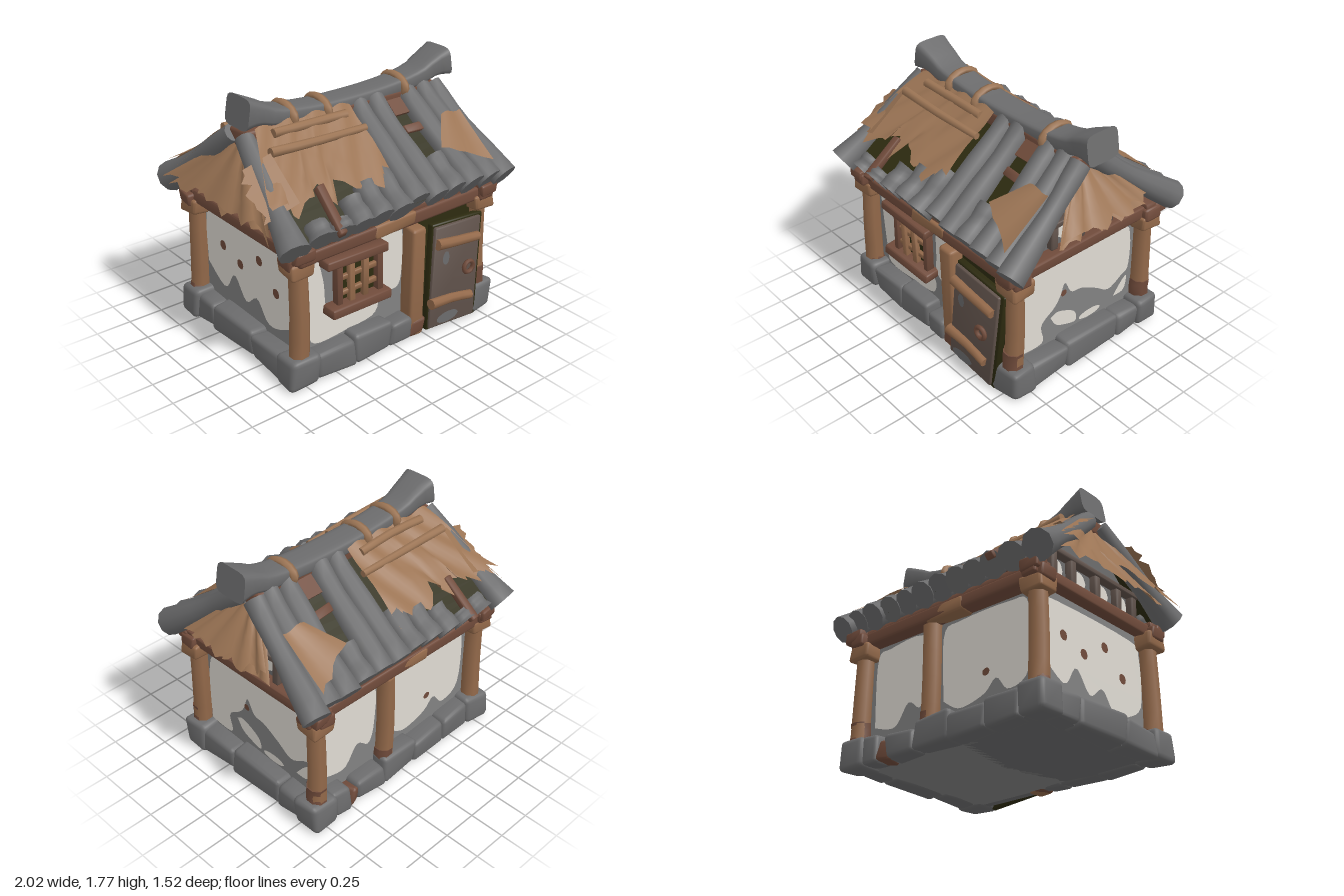
import * as THREE from 'three';
import { mergeVertices, toCreasedNormals } from 'three/addons/utils/BufferGeometryUtils.js';
import { RoundedBoxGeometry } from 'three/addons/geometries/RoundedBoxGeometry.js';

const V = (x, y, z) => new THREE.Vector3(x, y, z);
const lerp = THREE.MathUtils.lerp;

export function createModel() {
  const root = new THREE.Group();
  const mat = (name, color, side = THREE.FrontSide) => {
    const m = new THREE.MeshStandardMaterial({ color, side });
    m.name = name;
    return m;
  };
  const stone = mat('stone grey', 0x6c6c6d);
  const plasterGrey = mat('worn plaster grey', 0x828282);
  const plaster = mat('plaster white', 0xdfdbd3);
  const wood = mat('tan wood', 0x93694a);
  const brown = mat('red brown wood', 0x704b3b);
  const dark = mat('dark wood', 0x5f514a);
  const olive = mat('dark hollow', 0x2d2b10, THREE.DoubleSide);
  const straw = mat('straw', 0x9c7555, THREE.DoubleSide);

  let seed = 7;
  const rnd = () => (seed = (seed * 16807) % 2147483647) / 2147483647;

  function add(name, geo, m, pos = [0, 0, 0], rot = [0, 0, 0]) {
    const mesh = new THREE.Mesh(geo, m);
    mesh.name = name;
    mesh.position.set(...pos);
    mesh.rotation.set(...rot);
    root.add(mesh);
    return mesh;
  }

  // Box with soft edges and a slightly uneven surface
  function block(name, m, [w, h, d], pos, rot, rough = 0.008) {
    let g = new RoundedBoxGeometry(w, h, d, 2, Math.min(w, h, d) * 0.2);
    g.deleteAttribute('normal');
    g.deleteAttribute('uv');
    g = mergeVertices(g, 1e-4);
    const p = g.attributes.position, k = rnd() * 20;
    for (let i = 0; i < p.count; i++) {
      const x = p.getX(i), y = p.getY(i), z = p.getZ(i);
      p.setXYZ(i, x + rough * Math.sin(17 * y + 11 * z + k), y + rough * Math.sin(15 * x + 9 * z + k), z + rough * Math.sin(13 * x + 12 * y + k));
    }
    return add(name, toCreasedNormals(g, 0.9), m, pos, rot);
  }

  // Capped sweep along a curve; size(t) returns the two half widths, power < 1 squares the section
  function sweep(name, m, points, size, sides = 8, steps = 8, power = 1) {
    const curve = new THREE.CatmullRomCurve3(points);
    const f = curve.computeFrenetFrames(steps, false);
    const pos = [], idx = [];
    const pw = c => Math.sign(c) * Math.abs(c) ** power;
    for (let j = -1; j <= steps + 1; j++) {
      const k = Math.min(Math.max(j, 0), steps), c = curve.getPointAt(k / steps);
      const [a, b] = j === k ? size(k / steps) : [0, 0];
      for (let i = 0; i < sides; i++) {
        const th = ((i + 0.5) / sides) * Math.PI * 2;
        const q = c.clone().addScaledVector(f.normals[k], -pw(Math.cos(th)) * a).addScaledVector(f.binormals[k], pw(Math.sin(th)) * b);
        pos.push(q.x, q.y, q.z);
        if (j > -1) {
          const r = (j + 1) * sides, o = r - sides, n = (i + 1) % sides;
          idx.push(o + i, r + i, o + n, r + i, r + n, o + n);
        }
      }
    }
    const g = new THREE.BufferGeometry();
    g.setAttribute('position', new THREE.Float32BufferAttribute(pos, 3));
    g.setIndex(idx);
    return add(name, toCreasedNormals(g, 0.95), m);
  }
  const pole = (name, m, a, b, r0, r1 = r0) => sweep(name, m,
    [V(...a), V(...a).lerp(V(...b), 0.5).add(V(rnd() - 0.5, rnd() - 0.5, rnd() - 0.5).multiplyScalar(0.02)), V(...b)],
    t => [lerp(r0, r1, t), lerp(r0, r1, t)], 8, 4);

  // Bent sheet from a surface rule, with a ragged lower edge
  function sheet(name, m, rule, nu = 16, nv = 5, rag = 0) {
    const g = new THREE.PlaneGeometry(1, 1, nu, nv), p = g.attributes.position;
    for (let i = 0; i < p.count; i++) {
      const u = p.getX(i) + 0.5;
      let v = 0.5 - p.getY(i);
      if (v > 0.99) v += rag * (rnd() - 0.6);
      p.setXYZ(i, ...rule(u, v));
    }
    g.computeVertexNormals();
    return add(name, g, m);
  }

  // Painted flat patch with a smooth outline
  function patch(name, m, pts, pos, turn = 0) {
    const s = new THREE.Shape();
    s.moveTo(...pts[0]);
    s.splineThru([...pts.slice(1), pts[0]].map(q => new THREE.Vector2(...q)));
    return add(name, new THREE.ShapeGeometry(s, 4), m, pos, [0, turn, 0]);
  }
  const oval = (x, y, a, b) => [0, 1, 2, 3, 4, 5, 6].map(i => [x + a * Math.cos(i * 0.9), y + b * Math.sin(i * 0.9)]);

  // Walls and floor
  add('walls', new THREE.BoxGeometry(1.46, 0.9, 1.06), plasterGrey, [0, 0.47, 0]);
  add('floor', new THREE.BoxGeometry(1.6, 0.06, 1.18), stone, [0, 0.05, 0]);

  // Stone footing with a wooden wedge
  for (const x of [-1, 1]) for (const z of [-1, 1])
    block('cornerStone', stone, [0.22, 0.22, 0.2], [x * 0.765, 0.115, z * 0.565], [0, 0.06 * x, 0]);
  for (const [a, b, h] of [[-0.67, -0.35, 0.19], [-0.36, -0.05, 0.21], [-0.06, 0.12, 0.17]])
    block('frontStone', stone, [b - a, h, 0.16], [(a + b) / 2, h / 2 + 0.01, 0.57]);
  for (const [a, b, h] of [[-0.67, -0.4, 0.19], [-0.41, -0.1, 0.17], [-0.11, 0.2, 0.2], [0.19, 0.45, 0.16], [0.52, 0.67, 0.2]])
    block('backStone', stone, [b - a, h, 0.16], [(a + b) / 2, h / 2 + 0.01, -0.57]);
  block('backWedge', brown, [0.1, 0.13, 0.13], [0.48, 0.08, -0.57], [0, 0.3, 0.2]);
  for (const s of [-1, 1]) for (const [a, b, h] of [[0.16, 0.5, 0.18], [-0.3, 0.17, 0.2], [-0.5, -0.29, 0.18]])
    block('sideStone', stone, [0.17, h, b - a], [s * 0.77, h / 2 + 0.01, (a + b) / 2]);

  // Whitewash left on the walls
  patch('frontPlaster', plaster, [[-0.69, 0.76], [-0.6, 0.84], [-0.54, 0.65], [-0.5, 0.4], [-0.3, 0.37], [-0.1, 0.38], [-0.12, 0.25], [-0.35, 0.22], [-0.62, 0.22], [-0.66, 0.4]], [0, 0, 0.535]);
  patch('frontPlaster', plaster, [[-0.07, 0.82], [0.1, 0.84], [0.11, 0.45], [0.03, 0.38], [-0.07, 0.45], [-0.07, 0.6]], [0, 0, 0.535]);
  const right = Math.PI / 2;
  patch('rightPlaster', plaster, [[-0.51, 0.22], [-0.5, 0.65], [-0.4, 0.82], [0, 0.84], [0.4, 0.83], [0.48, 0.72], [0.48, 0.47], [0.42, 0.42], [0.3, 0.36], [0.18, 0.43], [0.05, 0.5], [-0.05, 0.52], [-0.11, 0.62], [-0.15, 0.53], [-0.2, 0.46], [-0.31, 0.37], [-0.3, 0.22]], [0.735, 0, 0], right);
  patch('rightPlasterIsland', plaster, [[-0.23, 0.39], [-0.16, 0.41], [-0.02, 0.34], [0, 0.25], [-0.1, 0.27], [-0.18, 0.31]], [0.735, 0, 0], right);
  patch('rightPlasterIsland', plaster, oval(0.13, 0.25, 0.1, 0.03), [0.735, 0, 0], right);
  patch('rightPlasterIsland', plaster, [[0.35, 0.27], [0.45, 0.28], [0.47, 0.39], [0.42, 0.36]], [0.735, 0, 0], right);
  patch('wallSpot', brown, oval(-0.12, 0.545, 0.025, 0.025), [0.738, 0, 0], right);
  patch('leftPlaster', plaster, [[-0.5, 0.42], [-0.5, 0.76], [-0.4, 0.83], [0.4, 0.83], [0.5, 0.74], [0.5, 0.4], [0.36, 0.28], [0.2, 0.25], [0.08, 0.38], [-0.05, 0.3], [-0.18, 0.44], [-0.3, 0.3]], [-0.735, 0, 0], -right);
  for (const [x, y] of [[-0.3, 0.62], [-0.1, 0.56], [0.12, 0.68], [0.3, 0.52]])
    patch('wallSpot', brown, oval(x, y, 0.035, 0.035), [-0.738, 0, 0], -right);
  patch('backPlaster', plaster, [[-0.67, 0.3], [-0.67, 0.78], [-0.55, 0.84], [-0.22, 0.83], [-0.2, 0.5], [-0.25, 0.34], [-0.36, 0.4], [-0.48, 0.26]], [0, 0, -0.535], Math.PI);
  patch('backPlaster', plaster, [[-0.04, 0.32], [-0.05, 0.78], [0.1, 0.84], [0.5, 0.84], [0.66, 0.78], [0.66, 0.35], [0.5, 0.26], [0.4, 0.36], [0.3, 0.28], [0.1, 0.24]], [0, 0, -0.535], Math.PI);
  patch('wallSpot', brown, oval(0.32, 0.42, 0.03, 0.025), [0, 0, -0.54], Math.PI);

  // Posts with dark feet, caps and wall beams
  for (const x of [-1, 1]) for (const z of [-1, 1]) {
    pole('cornerPost', wood, [x * 0.765, 0.18, z * 0.575], [x * 0.76, 0.84, z * 0.565], 0.068, 0.062);
    pole('cornerPostFoot', brown, [x * 0.767, 0.2, z * 0.577], [x * 0.765, 0.28 + 0.06 * x, z * 0.575], 0.07);
    block('postCap', wood, [0.18, 0.11, 0.17], [x * 0.76, 0.845, z * 0.56], [0, 0, 0.04 * x]);
  }
  block('doorPost', wood, [0.12, 0.82, 0.13], [0.18, 0.425, 0.58]);
  block('doorPostFoot', brown, [0.125, 0.12, 0.135], [0.18, 0.08, 0.582]);
  pole('backPost', wood, [0.13, 0.12, -0.56], [0.13, 0.86, -0.56], 0.065);
  pole('backPostFoot', brown, [0.13, 0.15, -0.56], [0.13, 0.26, -0.56], 0.067);
  for (const s of [-1, 1]) {
    block('longBeam', brown, [1.72, 0.09, 0.13], [0, 0.915, s * 0.565], [0, 0, 0.012]);
    block('longBeamUpper', brown, [1.66, 0.05, 0.1], [0, 0.965, s * 0.56]);
    block('beamWorn', wood, [0.34, 0.093, 0.134], [-0.02, 0.908, s * 0.565], [0, 0, 0.012]);
    block('sideBeam', brown, [0.12, 0.09, 1.34], [s * 0.76, 0.925, 0]);
    for (const z of [-1, 1]) block('beamEnd', brown, [0.14, 0.08, 0.1], [s * 0.78, 0.95, z * 0.63]);
  }

  // Window with lattice
  add('windowHollow', new THREE.BoxGeometry(0.34, 0.34, 0.01), olive, [-0.285, 0.6, 0.545]);
  block('windowLintel', brown, [0.49, 0.06, 0.1], [-0.325, 0.785, 0.575], [0, 0, -0.015]);
  block('windowSill', brown, [0.48, 0.065, 0.12], [-0.3, 0.44, 0.58]);
  for (const x of [-0.45, -0.12]) block('windowJamb', brown, [0.045, 0.32, 0.06], [x, 0.6, 0.565], undefined, 0.003);
  for (const x of [-0.35, -0.24]) block('windowBar', wood, [0.045, 0.32, 0.04], [x, 0.6, 0.58], [0, 0, 0.03], 0.004);
  for (const y of [0.54, 0.65]) block('windowCrossBar', wood, [0.3, 0.035, 0.03], [-0.285, y, 0.565], [0, 0, 0.03], 0.004);

  // Crooked door with straps and ring
  add('doorHollow', new THREE.BoxGeometry(0.5, 0.82, 0.02), olive, [0.49, 0.44, 0.545]);
  block('doorEdge', olive, [0.46, 0.77, 0.05], [0.495, 0.405, 0.63], [-0.05, 0, -0.075], 0.004);
  block('doorPanel', dark, [0.42, 0.74, 0.05], [0.485, 0.405, 0.65], [-0.05, 0, -0.075], 0.006);
  patch('doorWear', stone, oval(0.38, 0.56, 0.03, 0.05), [0, 0, 0.684]);
  patch('doorWear', stone, oval(0.4, 0.11, 0.1, 0.04), [0, 0, 0.702]);
  pole('doorStrap', wood, [0.3, 0.68, 0.675], [0.68, 0.63, 0.675], 0.038, 0.032);
  pole('doorStrap', wood, [0.25, 0.25, 0.69], [0.62, 0.2, 0.69], 0.038, 0.032);
  add('doorRing', new THREE.TorusGeometry(0.042, 0.016, 6, 12), brown, [0.585, 0.43, 0.695]);

  // Gable walls with small panes
  for (const s of [-1, 1]) {
    const tri = new THREE.Shape([[-0.56, 0.95], [0.56, 0.95], [0.48, 1.1], [0.06, 1.46], [-0.06, 1.46], [-0.48, 1.1]].map(q => new THREE.Vector2(...q)));
    const g = new THREE.ExtrudeGeometry(tri, { depth: 0.02, bevelEnabled: false });
    add('gableWall', g, stone, [s * 0.71, 0, 0], [0, s * Math.PI / 2, 0]);
    for (const z of [0.34, 0.13, -0.11, -0.34]) patch('gablePane', plaster, oval(-z, 1.06, Math.abs(z) > 0.2 ? 0.045 : 0.07, 0.062), [s * 0.737, 0, 0], s * Math.PI / 2);
    for (const z of [0.42, 0.25, 0.02, -0.23, -0.42]) block('gablePost', dark, [0.06, 0.18, 0.055], [s * 0.75, 1.06, z], undefined, 0.003);
    block('gableRail', dark, [0.08, 0.04, 0.9], [s * 0.75, 1.16, 0]);
  }

  // Roof slope rule shared by tiles, underlay and straw
  const prof = [[0.05, 1.53], [0.2, 1.4], [0.4, 1.245], [0.6, 1.095], [0.72, 1.01], [0.9, 0.89]];
  const roofY = z => {
    const i = Math.max(1, prof.findIndex(q => q[0] >= z)), [a, b] = [prof[i - 1], prof[i]];
    return lerp(a[1], b[1], (z - a[0]) / (b[0] - a[0]));
  };
  const hipX = (x, z) => x * (0.87 + 0.18 * z);
  for (const s of [-1, 1]) {
    sheet('roofUnderlay', olive, (u, v) => {
      const z = lerp(0.05, 0.66, v);
      return [hipX(lerp(-0.84, 0.84, u), z), roofY(z) - 0.015, s * z];
    }, 2, 8);
    add('ridgeShadowBoard', new THREE.BoxGeometry(0.16, 0.02, 0.16), brown, [0.415, roofY(0.13) + 0.02, s * 0.13], [s * 0.7, 0, 0]);
    const tile = (name, x, z0, z1, r0, r1) => sweep(name, stone,
      [0, 0.33, 0.66, 1].map(t => { const z = lerp(z0, z1, t); return V(hipX(x, z), roofY(z), s * z); }),
      t => { const r = lerp(r0, r1, t ** 3) + 0.005 * Math.sin(9 * t + x * 30); return [r, r]; }, 10, 7);
    for (const sx of [-1, 1]) tile('rakeTile', sx * 0.875, 0.06, 0.7, 0.068, 0.1);
    const starts = [0.59, 0.62, 0.53, 0.48, 0.42, 0.05, 0.05, 0.46, 0.05, 0.05];
    starts.forEach((z0, i) => tile('roofTile', -0.66 + i * 0.157, z0, 0.665 + 0.025 * rnd(), 0.08, 0.092));
    block('roofBatten', brown, [0.16, 0.03, 0.06], [0.42, roofY(0.28) + 0.02, s * 0.28], [s * 0.7, 0, 0]);
    block('brokenRafter', brown, [0.06, 0.05, 0.34], [-0.53, 1.165, s * 0.6], [s * 0.66, 0, 0]);

    // Straw covering on the slope, running over the left rake
    sheet('slopeStraw', straw, (u, v) => {
      const gap = u > 0.34 && u < 0.64 && Math.abs(u - 0.47) > 0.05 ? 0.82 : 1, z = lerp(0.1, 0.57, v * gap);
      return [lerp(-0.72 - 0.22 * v - 0.02 * Math.sin(v * 19), 0.02, u), roofY(z) + 0.09 + 0.014 * Math.sin(u * 23 + v * 7), s * z];
    }, 24, 6, 0.2);
    sheet('slopeStrawPatch', straw, (u, v) => {
      const z = lerp(0.33, lerp(0.52, 0.67, u), v);
      return [lerp(lerp(0.62, 0.45, v), 0.79, u), roofY(z) + 0.12 + 0.012 * Math.sin(u * 6), s * z];
    }, 6, 4, 0.1);
    pole('strawPole', straw, [-0.72, 1.475, s * 0.26], [0.03, 1.45, s * 0.25], 0.032, 0.024);
    pole('strawPole', straw, [-0.62, 1.54, s * 0.15], [-0.05, 1.53, s * 0.15], 0.03);

    // Straw skirts on the gable ends
    const wide = s > 0 ? 0.4 : 0.58;
    for (const [drop, out] of [[0, 0], [-0.04, -0.05]]) sheet('gableStraw', straw, (u, v) => [
      s * (lerp(0.77, 0.985, v) + out + 0.012 * Math.sin(u * 25)),
      lerp(1.47, s > 0 ? 1.2 : 1.13, v) + drop - 0.04 * Math.abs(u - 0.5) * v + 0.01 * Math.sin(u * 31),
      (u - 0.5) * 2 * lerp(0.09, wide + drop, v)], 18, 4, 0.26);
    // Straw wisps laid over the left rake
    sheet('rakeStraw', straw, (u, v) => {
      const z = lerp(0.26, 0.55, u);
      return [lerp(-0.72, -0.94, v), roofY(z) + 0.12 - 0.08 * v, s * (z - 0.03 * v)];
    }, 10, 3, 0.35);
  }

  // Ridge board, upswept ridge and straw ties
  block('ridgeBoard', brown, [1.56, 0.12, 0.2], [0, 1.505, 0]);
  const ridge = [[-0.775, 1.672], [-0.675, 1.655], [-0.565, 1.612], [-0.3, 1.575], [0, 1.562], [0.4, 1.572], [0.685, 1.612], [0.795, 1.655], [0.895, 1.672]];
  sweep('ridge', stone, ridge.map(([x, y]) => V(x, y, 0)), t => {
    const e = Math.abs(2 * t - 1) ** 6;
    return [0.1 + 0.028 * e, 0.05 + 0.052 * e];
  }, 16, 24, 0.4);
  for (const [x, y] of [[-0.43, 1.58], [-0.16, 1.56], [0.49, 1.57]]) {
    const tie = add('ridgeTie', new THREE.TorusGeometry(0.1, 0.03, 6, 14), straw, [x, y, 0], [0, Math.PI / 2, 0.08]);
    tie.scale.set(1.1, 0.72, 1);
  }
  return root;
}
